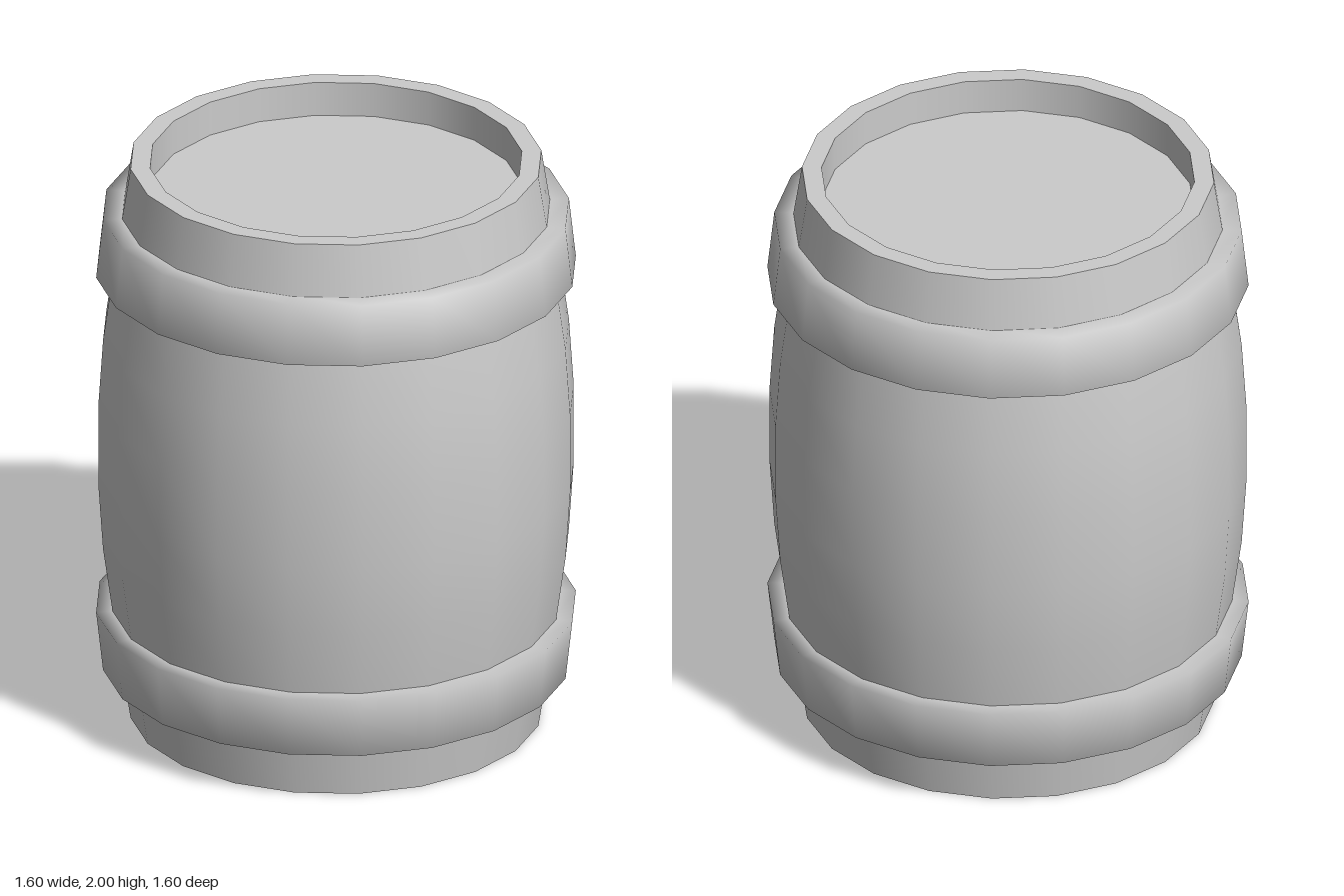
import * as THREE from 'three';

const SIDES = 20;
const material = new THREE.MeshStandardMaterial({ color: 0xcccccc });

// Revolve [radius, y] points; upward profiles face out, inward ones at the top face up
function turn(name, points) {
  const profile = points.map(([r, y]) => new THREE.Vector2(r, y));
  const mesh = new THREE.Mesh(new THREE.LatheGeometry(profile, SIDES), material);
  mesh.name = name;
  return mesh;
}

export function createModel() {
  const barrel = new THREE.Group();
  barrel.name = 'barrel';

  // Bulging staves, mirrored about mid height
  const lower = [[0.685, 0], [0.715, 0.19], [0.745, 0.39], [0.777, 0.62], [0.793, 0.86]];
  const upper = lower.map(([r, y]) => [r, 2 - y]).reverse();
  barrel.add(turn('staves', [...lower, ...upper]));

  // Each end: flat rim, recessed wall and head, kept separate for sharp edges
  const rimRadius = 0.685, headRadius = 0.62, recess = 0.12;
  for (const top of [true, false]) {
    const end = new THREE.Group();
    end.name = top ? 'topEnd' : 'bottomEnd';
    end.add(
      turn('rim', [[rimRadius, 1], [headRadius, 1]]),
      turn('recessWall', [[headRadius, 1], [headRadius, 1 - recess]]),
      turn('head', [[headRadius, 1 - recess], [0, 1 - recess]])
    );
    if (!top) end.rotation.x = Math.PI;
    end.position.y = 1;
    barrel.add(end);
  }

  // Softly shaded hoops, wider towards the middle of the barrel
  for (const top of [true, false]) {
    const hoop = turn(top ? 'topHoop' : 'bottomHoop',
      [[0.735, 0.607], [0.8, 0.61], [0.777, 0.82], [0.705, 0.82]]);
    if (!top) hoop.rotation.x = Math.PI;
    hoop.position.y = 1;
    barrel.add(hoop);
  }
  return barrel;
}
